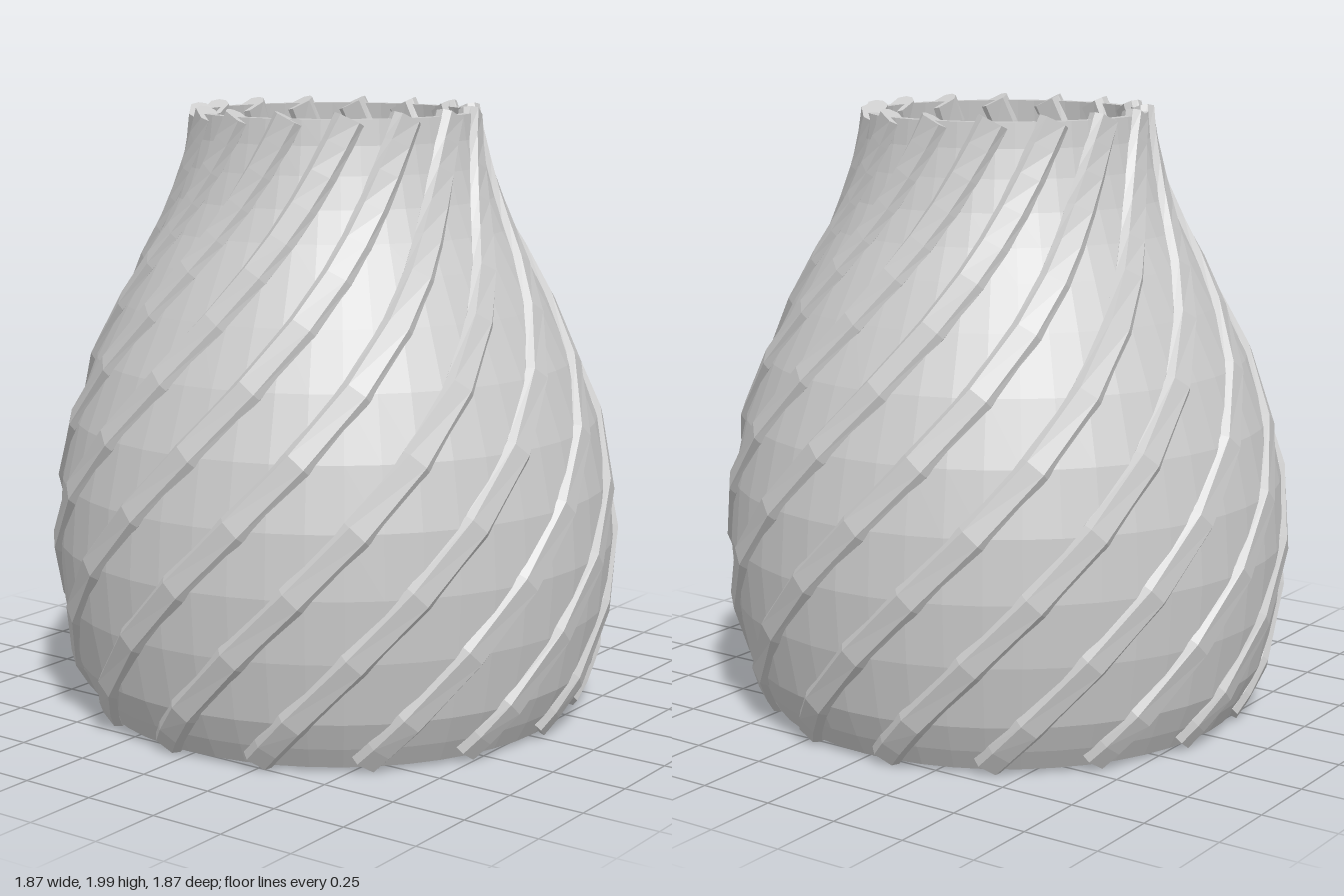
import * as THREE from 'three';

const RIBS = 15, TWIST = Math.PI * 2 / 3, START = THREE.MathUtils.degToRad(17);
const BOTTOM = 0.02, TOP = 1.97, WALL = 0.03;

// outer profile of the vase: [radius, height]
const PROFILE = [
  [0.785, 0.02], [0.825, 0.09], [0.865, 0.18], [0.905, 0.38], [0.92, 0.58], [0.905, 0.78], [0.86, 0.98],
  [0.785, 1.18], [0.695, 1.36], [0.62, 1.5], [0.565, 1.6], [0.52, 1.7], [0.487, 1.8], [0.465, 1.89], [0.455, 1.97],
];

// rib cross-section: [across, outward], a flat bar with chamfered sides
const SECTION = [
  [0.05, -0.012], [0.05, 0.012], [0.032, 0.033], [-0.032, 0.033],
  [-0.05, 0.012], [-0.05, -0.012], [-0.032, -0.033], [0.032, -0.033],
];

const material = new THREE.MeshStandardMaterial({ color: 0xcccccc, flatShading: true });

// thin-walled body with a floor, turned as one closed profile
function bodyGeometry() {
  const outer = PROFILE.map(([r, y]) => new THREE.Vector2(r, y));
  const inner = PROFILE.slice(1).reverse().map(([r, y]) => new THREE.Vector2(r - WALL, y));
  const points = [
    new THREE.Vector2(0, BOTTOM), ...outer, ...inner,
    new THREE.Vector2(0.77, 0.05), new THREE.Vector2(0, 0.05),
  ];
  return new THREE.LatheGeometry(points, 48);
}

// one spiral rib: the section is swept up the wall while turning round the axis
function ribGeometry() {
  const rows = [[0.797, 0.04], ...PROFILE.slice(1)];
  const n = SECTION.length, pos = [], index = [];
  const turn = TWIST / (TOP - BOTTOM);
  rows.forEach(([r, y], i) => {
    const a = rows[Math.max(i - 1, 0)], b = rows[Math.min(i + 1, rows.length - 1)];
    const slope = (b[0] - a[0]) / (b[1] - a[1]);
    const t = START + turn * (y - BOTTOM);
    const radial = new THREE.Vector3(Math.sin(t), 0, Math.cos(t));
    const around = new THREE.Vector3(Math.cos(t), 0, -Math.sin(t));
    const up = new THREE.Vector3(0, 1, 0);
    const tangent = up.clone().addScaledVector(radial, slope).addScaledVector(around, r * turn).normalize();
    const normal = radial.clone().addScaledVector(up, -slope).normalize();
    const across = normal.clone().cross(tangent);
    const centre = radial.clone().multiplyScalar(r - WALL / 2).addScaledVector(up, y);
    for (const [u, v] of SECTION) {
      const p = centre.clone().addScaledVector(across, u).addScaledVector(normal, v);
      pos.push(p.x, p.y, p.z);
    }
  });
  for (let i = 0; i < rows.length - 1; i++) {
    for (let j = 0; j < n; j++) {
      const a = i * n + j, b = i * n + (j + 1) % n;
      index.push(a, b, b + n, a, b + n, a + n);
    }
  }
  // end caps
  const last = (rows.length - 1) * n;
  for (let j = 1; j < n - 1; j++) {
    index.push(0, j + 1, j, last, last + j, last + j + 1);
  }
  const g = new THREE.BufferGeometry();
  g.setAttribute('position', new THREE.Float32BufferAttribute(pos, 3));
  g.setIndex(index);
  g.computeVertexNormals();
  return g;
}

export function createModel() {
  const model = new THREE.Group();
  model.name = 'vase';

  const body = new THREE.Mesh(bodyGeometry(), material);
  body.name = 'body';
  model.add(body);

  const ribs = new THREE.Group();
  ribs.name = 'spiralRibs';
  const rib = ribGeometry();
  for (let k = 0; k < RIBS; k++) {
    const mesh = new THREE.Mesh(rib, material);
    mesh.name = `rib${k + 1}`;
    mesh.rotation.y = k * Math.PI * 2 / RIBS;
    ribs.add(mesh);
  }
  model.add(ribs);
  return model;
}
